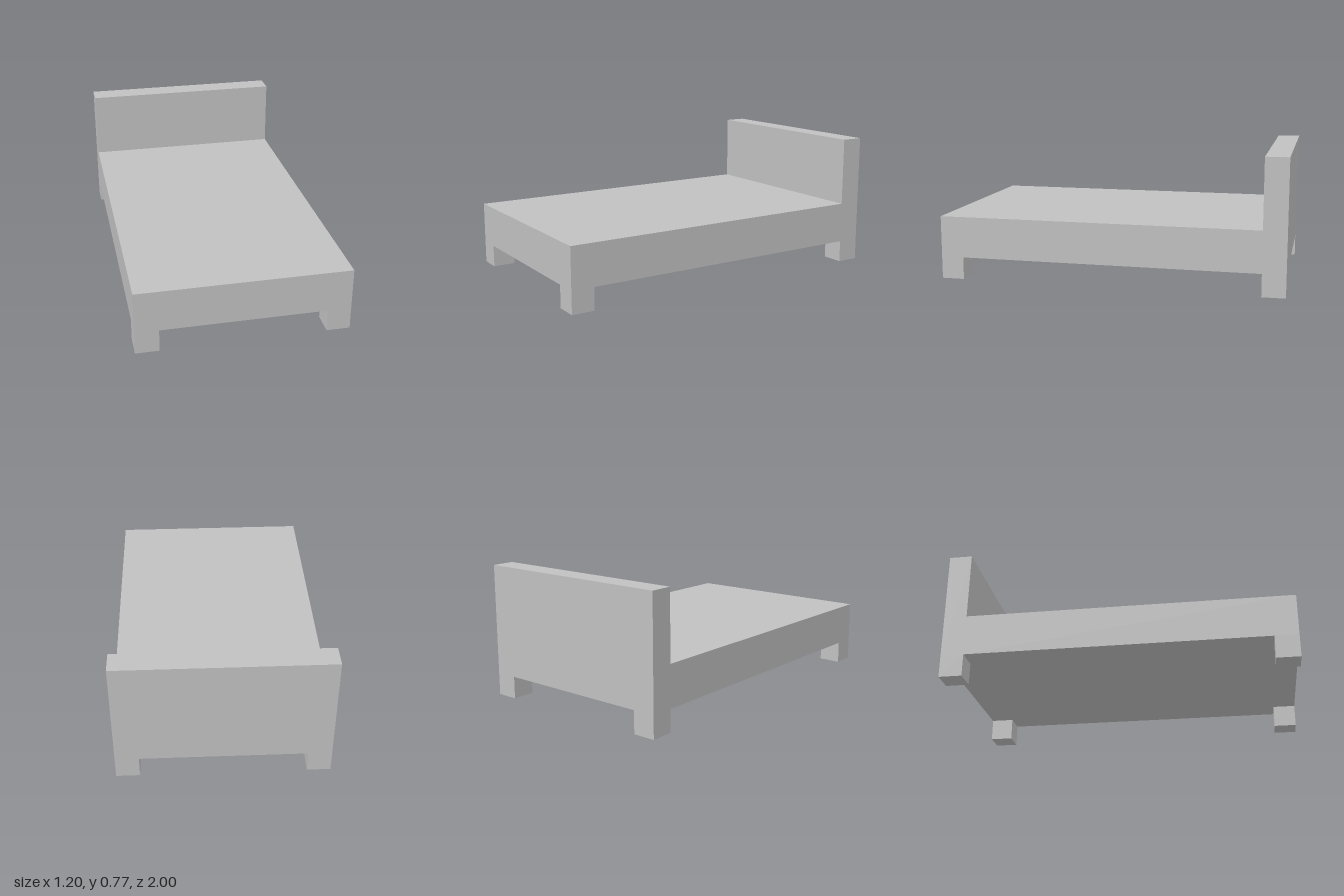
import * as THREE from 'three';

export function createModel() {
  const model = new THREE.Group();
  model.name = 'bed';
  const grey = new THREE.MeshStandardMaterial({ color: 0xc0c0c0 });
  grey.name = 'grey';

  const width = 1.2, length = 2, post = 0.133;
  const legTop = 0.13, deckTop = 0.37, headTop = 0.77;

  // Box given by its lower and upper corners
  function block(name, [x0, y0, z0], [x1, y1, z1]) {
    const mesh = new THREE.Mesh(new THREE.BoxGeometry(x1 - x0, y1 - y0, z1 - z0), grey);
    mesh.position.set((x0 + x1) / 2, (y0 + y1) / 2, (z0 + z1) / 2);
    mesh.name = name;
    model.add(mesh);
  }

  const hx = width / 2, hz = length / 2;

  // Mattress base in front of the full-height headboard
  block('mattressBase', [-hx, legTop, -hz + post], [hx, deckTop, hz]);
  block('headboard', [-hx, legTop, -hz], [hx, headTop, -hz + post]);

  // Four corner legs, flush with the outer sides
  for (const [side, x] of [['Right', -hx], ['Left', hx - post]]) {
    for (const [end, z] of [['back', -hz], ['front', hz - post]]) {
      block(`${end}${side}Leg`, [x, 0, z], [x + post, legTop, z + post]);
    }
  }
  return model;
}
